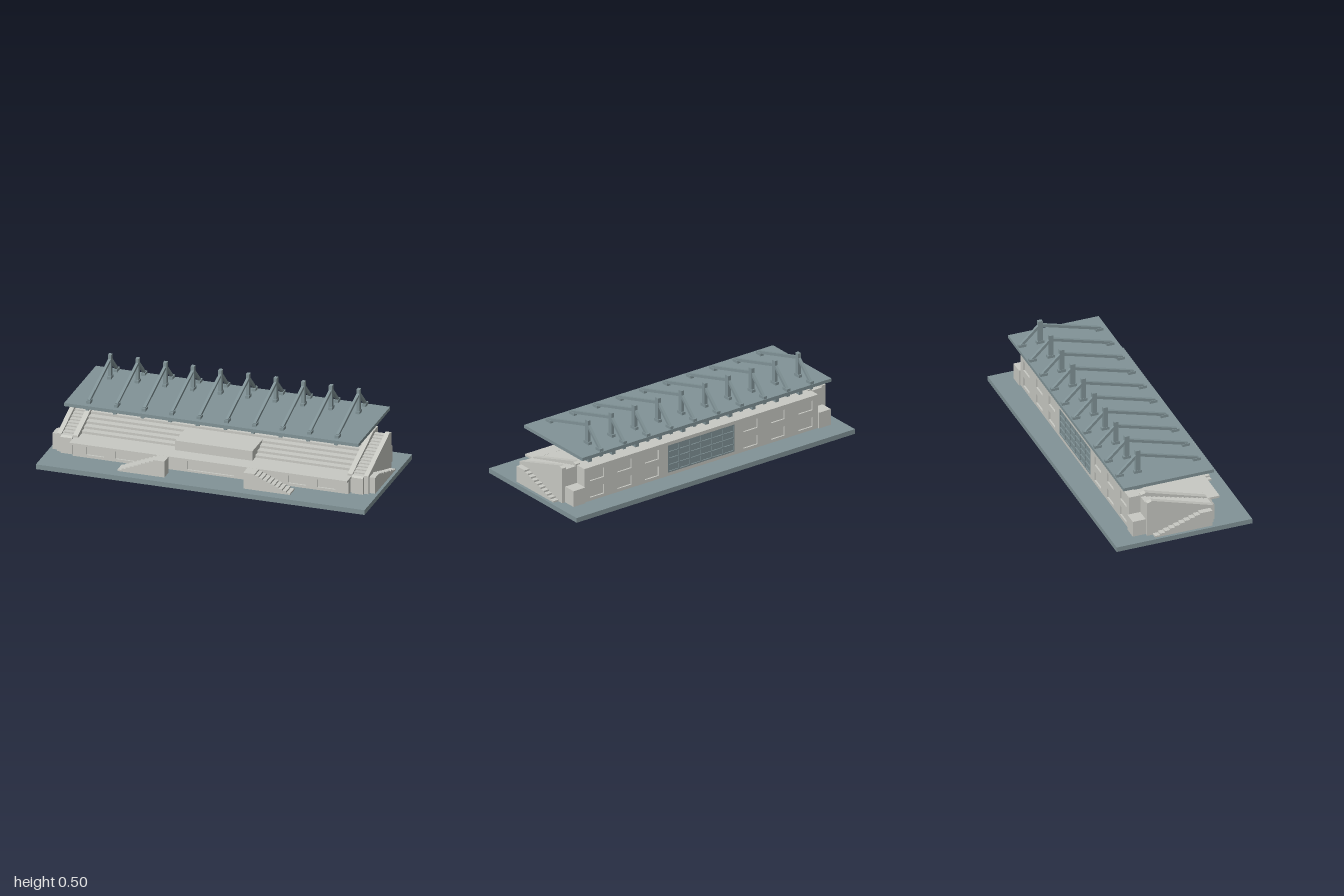
import * as THREE from 'three';

export function createModel() {
  const group = new THREE.Group();
  const concrete = new THREE.MeshStandardMaterial({ color: 0xc8c9c3 });
  concrete.name = 'pale concrete';
  const steel = new THREE.MeshStandardMaterial({ color: 0x819397 });
  steel.name = 'blue grey steel';

  function add(name, geo, mat) {
    const mesh = new THREE.Mesh(geo, mat);
    mesh.name = name;
    group.add(mesh);
    return mesh;
  }
  // Box given by its limits on each axis
  function box(name, mat, x0, x1, y0, y1, z0, z1) {
    const mesh = add(name, new THREE.BoxGeometry(x1 - x0, y1 - y0, z1 - z0), mat);
    mesh.position.set((x0 + x1) / 2, (y0 + y1) / 2, (z0 + z1) / 2);
    return mesh;
  }
  const toShape = (pts) => new THREE.Shape(pts.map(([a, b]) => new THREE.Vector2(a, b)));
  const extrude = (shape, depth) => new THREE.ExtrudeGeometry(shape, { depth, bevelEnabled: false });
  // Prism with a (z, y) outline, running from x0 to x1
  function sidePrism(name, mat, pts, x0, x1) {
    const mesh = add(name, extrude(toShape(pts), x1 - x0), mat);
    mesh.rotation.y = -Math.PI / 2;
    mesh.position.x = x1;
  }
  // Stair outline: steps running from (a0, b0) to (a1, b1), riser first
  function steps(a0, b0, a1, b1, n) {
    const pts = [];
    for (let i = 0; i < n; i++) {
      const a = a0 + ((a1 - a0) * i) / n;
      const b = b0 + ((b1 - b0) * (i + 1)) / n;
      pts.push([a, b], [a + (a1 - a0) / n, b]);
    }
    return pts;
  }
  // Wall facing z with rectangular openings [x0, x1, y0, y1]
  function wall(name, halfWidth, y0, y1, z0, z1, openings) {
    const shape = toShape([[-halfWidth, y0], [halfWidth, y0], [halfWidth, y1], [-halfWidth, y1]]);
    for (const [a, b, c, d] of openings) {
      shape.holes.push(new THREE.Path([[a, c], [a, d], [b, d], [b, c]].map((p) => new THREE.Vector2(...p))));
    }
    add(name, extrude(shape, z1 - z0), concrete).position.z = z0;
  }

  // Ground slab
  box('groundSlab', steel, -1, 1, 0, 0.03, -0.42, 0.42);

  // Terraced seating and building core
  sidePrism('seatingTerrace', concrete, [
    [0.225, 0.03], [0.225, 0.13], [0.13, 0.13],
    ...steps(0.13, 0.13, -0.19, 0.243, 8),
    [-0.27, 0.243], [-0.27, 0.03],
  ], -0.84, 0.84);
  box('centralBox', concrete, -0.235, 0.235, 0.125, 0.19, 0, 0.18);

  // Front wall with recessed panels, and the walkway above it
  const frontOpenings = [[-0.143, 0.143, 0.042, 0.113]];
  for (const x of [-0.705, -0.525, 0.525, 0.705]) frontOpenings.push([x - 0.055, x + 0.055, 0.047, 0.113]);
  wall('frontWall', 0.84, 0.03, 0.118, 0.22, 0.235, frontOpenings);
  box('frontWalkway', concrete, -0.845, 0.845, 0.117, 0.1305, 0.2, 0.28);

  // Rear wall with two rows of windows and a large glazed centre
  const rearOpenings = [[-0.24, 0.24, 0.05, 0.222]];
  for (const s of [-1, 1]) {
    for (const x of [0.355, 0.55, 0.75]) {
      for (const y of [0.05, 0.155]) rearOpenings.push([s * x - 0.05, s * x + 0.05, y, y + 0.06]);
    }
  }
  wall('rearWall', 0.84, 0.03, 0.243, -0.28, -0.27, rearOpenings);
  box('rearGlazing', steel, -0.24, 0.24, 0.05, 0.222, -0.274, -0.269);
  for (let i = 0; i <= 6; i++) {
    const x = -0.236 + (0.472 * i) / 6;
    box('glazingMullion', steel, x - 0.004, x + 0.004, 0.05, 0.222, -0.28, -0.273);
  }
  for (let i = 0; i <= 4; i++) {
    const y = 0.054 + (0.164 * i) / 4;
    box('glazingTransom', steel, -0.24, 0.24, y - 0.004, y + 0.004, -0.28, -0.273);
  }

  // Side stairs, parapets and front flights, mirrored
  const parapet = [[0.2, 0.03], [0.2, 0.143], [-0.182, 0.261], [-0.187, 0.255], [-0.21, 0.25], [-0.21, 0.03]];
  const aisle = [
    [0.217, 0.03], [0.217, 0.13],
    ...steps(0.2, 0.13, -0.21, 0.238, 14),
    [-0.21, 0.03],
  ];
  const outerStair = [
    [0.18, 0.03], [0.18, 0.13],
    ...steps(-0.175, 0.03, 0.135, 0.13, 10).reverse(),
    [-0.175, 0.03],
  ];
  for (const s of [-1, 1]) {
    const span = (a, b) => (s > 0 ? [a, b] : [-b, -a]);
    sidePrism('innerParapet', concrete, parapet, ...span(0.82, 0.85));
    sidePrism('outerParapet', concrete, parapet, ...span(0.92, 0.947));
    sidePrism('aisleStair', concrete, aisle, ...span(0.85, 0.92));
    sidePrism('outerStair', concrete, outerStair, ...span(0.947, 0.982));
    const [b0, b1] = span(0.84, 0.925);
    box('rearCornerBlock', concrete, b0, b1, 0.03, 0.13, -0.29, -0.205);

    const flight = [[0.24, 0.03], ...steps(0.525, 0.03, 0.285, 0.13, 10).reverse(), [0.24, 0.13]]
      .map(([x, y]) => [s * x, y]);
    // Bottom corner, then treads from the top down
    const outline = [flight[0], flight[flight.length - 1], ...flight.slice(1, -1), [s * 0.525, 0.03]];
    add('frontStair', extrude(toShape(outline), 0.076), concrete).position.z = 0.28;
  }

  // Roof slab with purlins below
  box('roof', steel, -0.895, 0.895, 0.33, 0.35, -0.335, 0.225);
  for (const z of [0.188, -0.28]) box('roofPurlin', steel, -0.88, 0.88, 0.32, 0.331, z - 0.008, z + 0.008);

  // Sloping tie between two (z, y) points
  function tie(x, z0, y0, z1, y1) {
    const mesh = add('roofTie', new THREE.BoxGeometry(0.016, 0.017, Math.hypot(z1 - z0, y1 - y0)), steel);
    mesh.position.set(x, (y0 + y1) / 2, (z0 + z1) / 2);
    mesh.rotation.x = -Math.atan2(y1 - y0, z1 - z0);
  }
  // Ten mast frames
  for (let i = 0; i < 10; i++) {
    const x = -0.76 + i * 0.168;
    box('roofRib', steel, x - 0.01, x + 0.01, 0.317, 0.331, -0.327, 0.215);
    box('roofColumn', steel, x - 0.012, x + 0.012, 0.235, 0.318, -0.221, -0.169);
    box('mast', steel, x - 0.01, x + 0.01, 0.35, 0.5, -0.21, -0.182);
    for (const z of [0.17, -0.196, -0.308]) box('mastFoot', steel, x - 0.012, x + 0.012, 0.35, 0.367, z - 0.023, z + 0.023);
    tie(x, 0.18, 0.363, -0.19, 0.469);
    tie(x, -0.2, 0.469, -0.313, 0.36);
  }
  return group;
}
